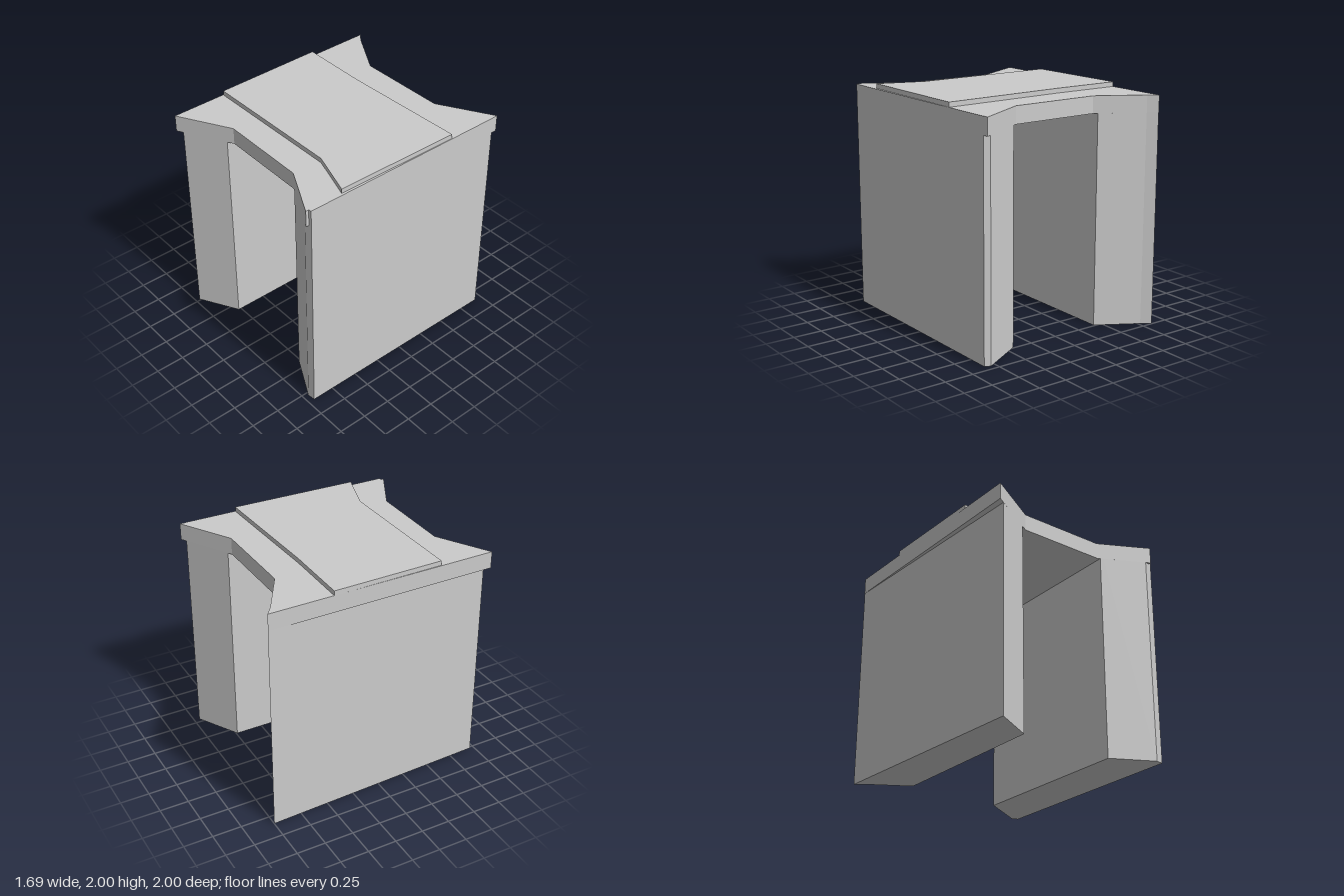
import * as THREE from 'three';

const material = new THREE.MeshStandardMaterial({ color: 0xcccccc, flatShading: true });

// Upright prism from a plan outline of [x, z] points between two heights.
function prism(name, plan, bottom, top) {
  const shape = new THREE.Shape(plan.map(([x, z]) => new THREE.Vector2(x, -z)));
  const geometry = new THREE.ExtrudeGeometry(shape, { depth: top - bottom, bevelEnabled: false });
  geometry.rotateX(-Math.PI / 2);
  geometry.translate(0, bottom, 0);
  const mesh = new THREE.Mesh(geometry, material);
  mesh.name = name;
  return mesh;
}

export function createModel() {
  const model = new THREE.Group();
  model.name = 'underpass';

  // Abutment walls with flared ends
  model.add(prism('leftAbutment', [
    [0.425, 0.768], [0.78, 0.954], [0.845, 0.945],
    [0.845, -0.93], [0.795, -0.951], [0.425, -0.74],
  ], 0, 1.96));
  model.add(prism('rightAbutment', [
    [-0.425, 0.775], [-0.765, 0.964], [-0.845, -1],
    [-0.77, -0.94], [-0.425, -0.736],
  ], 0, 1.815));

  // Deck slab, waisted over the opening
  model.add(prism('deck', [
    [-0.82, 0.995], [-0.37, 0.745], [0.4, 0.755], [0.82, 0.975],
    [0.843, -0.98], [0.39, -0.72], [-0.39, -0.715], [-0.77, -0.94], [-0.847, -1],
  ], 1.815, 1.96));

  // Raised roadway strip
  model.add(prism('roadway', [
    [-0.82, 0.515], [0.43, 0.51], [0.825, 0.64],
    [0.84, -0.475], [-0.25, -0.44], [-0.84, -0.445],
  ], 1.96, 2));

  return model;
}
